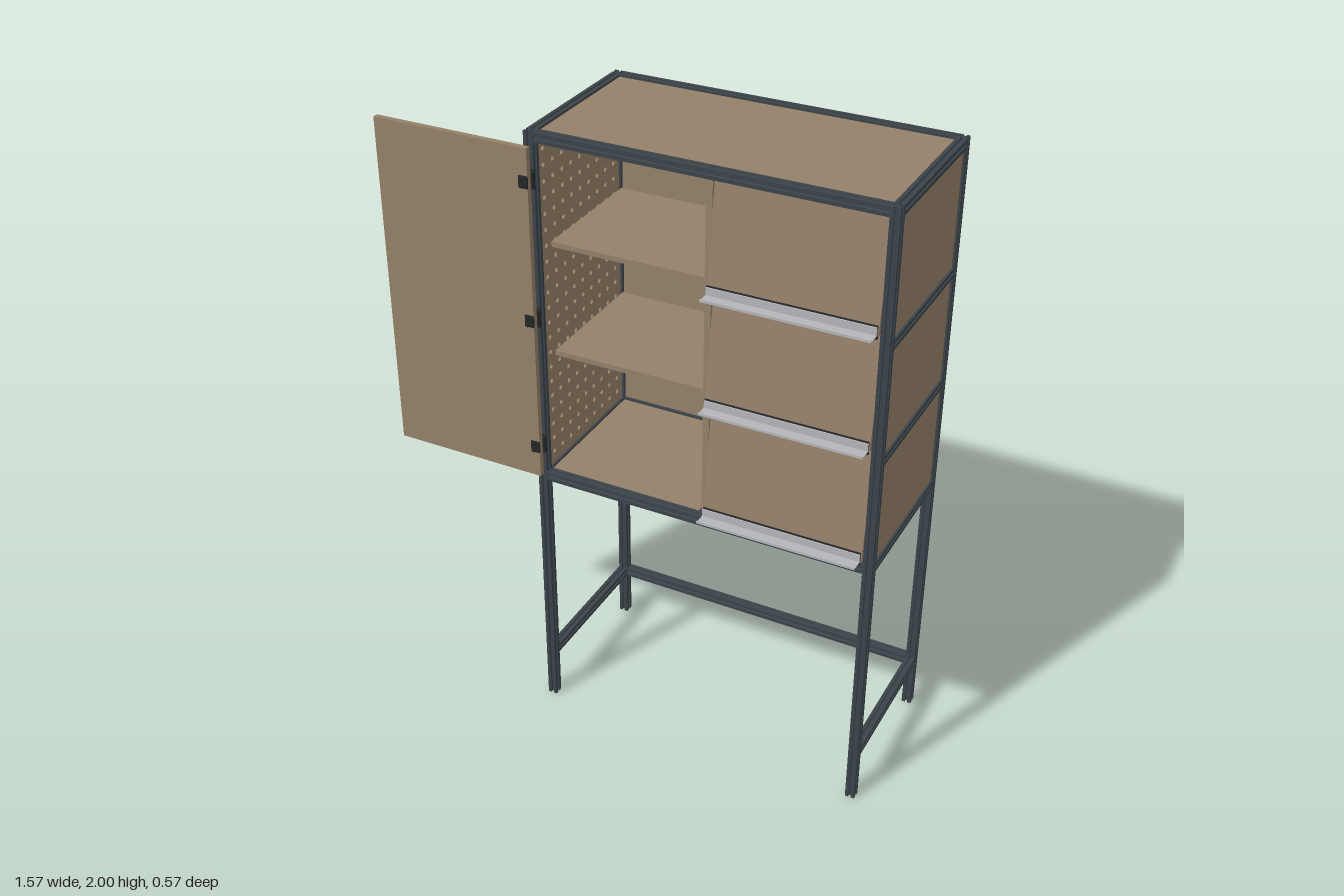
import * as THREE from 'three';

const mat = (name, color) => Object.assign(new THREE.MeshStandardMaterial({ color }), { name });

export function createModel() {
  const model = new THREE.Group();
  model.name = 'cabinet';
  const wood = mat('brown board', 0x958069);
  const steel = mat('dark grey frame', 0x3b444a);
  const black = mat('black fittings', 0x242628);
  const silver = mat('silver handle', 0xb4b6ba);

  // Main positions: centres of the posts and heights of the rails
  const XL = -0.3, XR = 0.767, ZF = 0.222, ZB = -0.275;
  const S = 0.015, TOP = 1.985, MID = 0.875, LOW = 0.175, DIV = 0.235;
  const xMid = (XL + XR) / 2, zMid = (ZF + ZB) / 2;
  const spanX = XR - XL - 2 * S, spanZ = ZF - ZB - 2 * S;

  const add = (name, geometry, material, parent = model) => {
    const mesh = new THREE.Mesh(geometry, material);
    mesh.name = name;
    parent.add(mesh);
    return mesh;
  };
  // Box given by its limits on each axis
  const box = (name, material, [x0, x1], [y0, y1], [z0, z1], parent = model) => {
    const m = add(name, new THREE.BoxGeometry(x1 - x0, y1 - y0, z1 - z0), material, parent);
    m.position.set((x0 + x1) / 2, (y0 + y1) / 2, (z0 + z1) / 2);
    return m;
  };

  // Slotted square bar: one side of the section turned four times
  const side = [[-S, S], [-0.004, S], [-0.004, S - 0.003], [-0.008, S - 0.003], [-0.004, S - 0.009],
    [0.004, S - 0.009], [0.008, S - 0.003], [0.004, S - 0.003], [0.004, S]];
  const section = [];
  for (let k = 0, pts = side; k < 4; k++) {
    pts.forEach(([x, y]) => section.push(new THREE.Vector2(x, y)));
    pts = pts.map(([x, y]) => [y, -x]);
  }
  const barShape = new THREE.Shape(section);
  const bar = (name, axis, length, x, y, z) => {
    const g = new THREE.ExtrudeGeometry(barShape, { depth: length, bevelEnabled: false });
    g.translate(0, 0, -length / 2);
    if (axis === 'x') g.rotateY(Math.PI / 2);
    if (axis === 'y') g.rotateX(Math.PI / 2);
    add(name, g, steel).position.set(x, y, z);
  };

  // Frame: posts, cross rails and side rails
  for (const x of [XL, XR]) {
    for (const z of [ZF, ZB]) bar('post', 'y', 2, x, 1, z);
    for (const y of [TOP, MID, LOW]) bar('sideRail', 'z', spanZ, x, y, zMid);
  }
  for (const y of [TOP, MID]) bar('frontRail', 'x', spanX, xMid, y, ZF);
  for (const y of [TOP, MID, LOW]) bar('backRail', 'x', spanX, xMid, y, ZB);
  bar('floorRail', 'z', spanZ, DIV, MID, zMid);
  const shelfRails = [1.235, 1.597];
  for (const y of shelfRails) bar('shelfRail', 'z', spanZ, XR, y, zMid);

  // Boards of the case
  const X = [XL + S, XR - S], Y = [MID + S, TOP - S], Z = [ZB + S, ZF - S];
  box('topPanel', wood, X, [TOP - 0.006, TOP + 0.008], Z);
  box('floorPanel', wood, X, [MID - 0.006, MID + 0.008], Z);
  box('backPanel', wood, X, Y, [ZB - 0.008, ZB + 0.006]);
  const levels = [MID, ...shelfRails, TOP];
  for (let i = 0; i < 3; i++) {
    box('sidePanel', wood, [XR - 0.006, XR + 0.008], [levels[i] + S, levels[i + 1] - S], Z);
  }
  box('divider', wood, [0.225, 0.245], Y, [Z[0], 0.2]);
  for (const y of [1.272, 1.63]) box('shelf', wood, [X[0], 0.225], [y - 0.008, y + 0.008], [Z[0], 0.16]);
  for (const y of shelfRails) box('binFloor', wood, [0.245, X[1]], [y - 0.008, y + 0.008], [Z[0], 0.17]);

  // Perforated side board
  const w = spanZ / 2, h = (Y[1] - Y[0]) / 2;
  const peg = new THREE.Shape([[-w, -h], [w, -h], [w, h], [-w, h]].map(p => new THREE.Vector2(...p)));
  for (let i = -4; i <= 4; i++) {
    for (let j = -10; j <= 10; j++) {
      peg.holes.push(new THREE.Path().absarc(i * 0.05, j * 0.05, 0.008, 0, Math.PI * 2, true));
    }
  }
  const pegGeo = new THREE.ExtrudeGeometry(peg, { depth: 0.014, bevelEnabled: false, curveSegments: 8 });
  pegGeo.translate(0, 0, -0.007).rotateY(Math.PI / 2);
  add('pegboardSide', pegGeo, wood).position.set(XL, (Y[0] + Y[1]) / 2, zMid);

  // Open door with flush pull and hinges
  box('door', wood, [-0.79, -0.286], [0.895, 1.965], [0.253, 0.271]);
  box('doorPull', black, [-0.772, -0.755], [1.38, 1.48], [0.248, 0.253]);
  for (const y of [1.0, 1.43, 1.865]) {
    const hinge = new THREE.Group();
    hinge.name = 'hinge';
    hinge.position.y = y;
    model.add(hinge);
    box('frameLeaf', black, [-0.308, -0.282], [-0.026, 0.026], [0.237, 0.243], hinge);
    box('doorLeaf', black, [-0.312, -0.284], [-0.018, 0.018], [0.271, 0.277], hinge);
    const pin = add('hingePin', new THREE.CylinderGeometry(0.006, 0.006, 0.052, 12), black, hinge);
    pin.position.set(-0.281, 0, 0.25);
    for (const s of [-1, 1]) {
      const screw = add('hingeScrew', new THREE.CylinderGeometry(0.005, 0.005, 0.008, 10), black, hinge);
      screw.rotation.x = Math.PI / 2;
      screw.position.set(-0.3, s * 0.01, 0.281);
    }
  }

  // Tilted flaps, hinged along the top, each with a seal and a ledge handle
  const ledge = new THREE.Shape([[0.242, 0], [0.285, 0], [0.285, 0.008], [0.282, 0.008], [0.282, 0.003],
    [0.246, 0.003], [0.246, 0.026], [0.242, 0.026]].map(p => new THREE.Vector2(...p)));
  for (const [bottom, top] of [[0.9, 1.25], [1.272, 1.608], [1.63, 1.966]]) {
    const drop = top - bottom, tilt = Math.atan2(0.042, drop), len = Math.hypot(0.042, drop);
    const flap = new THREE.Group();
    flap.name = 'flap';
    flap.position.set(0, top, 0.197);
    flap.rotation.x = -tilt;
    model.add(flap);
    box('flapBoard', wood, [0.25, 0.748], [-len, 0], [-0.015, 0], flap);
    for (const x of [0.252, 0.74]) {
      box('flapStay', black, [x, x + 0.006], [-len * 0.55, -len * 0.4], [-0.05, -0.015], flap);
    }
    box('flapSeal', black, [0.25, 0.745], [bottom - 0.009, bottom + 0.03], [0.235, 0.242]);
    const g = new THREE.ExtrudeGeometry(ledge, { depth: 0.495, bevelEnabled: false });
    g.rotateY(-Math.PI / 2);
    add('flapHandle', g, silver).position.set(0.745, bottom + 0.002, 0);
  }
  return model;
}
